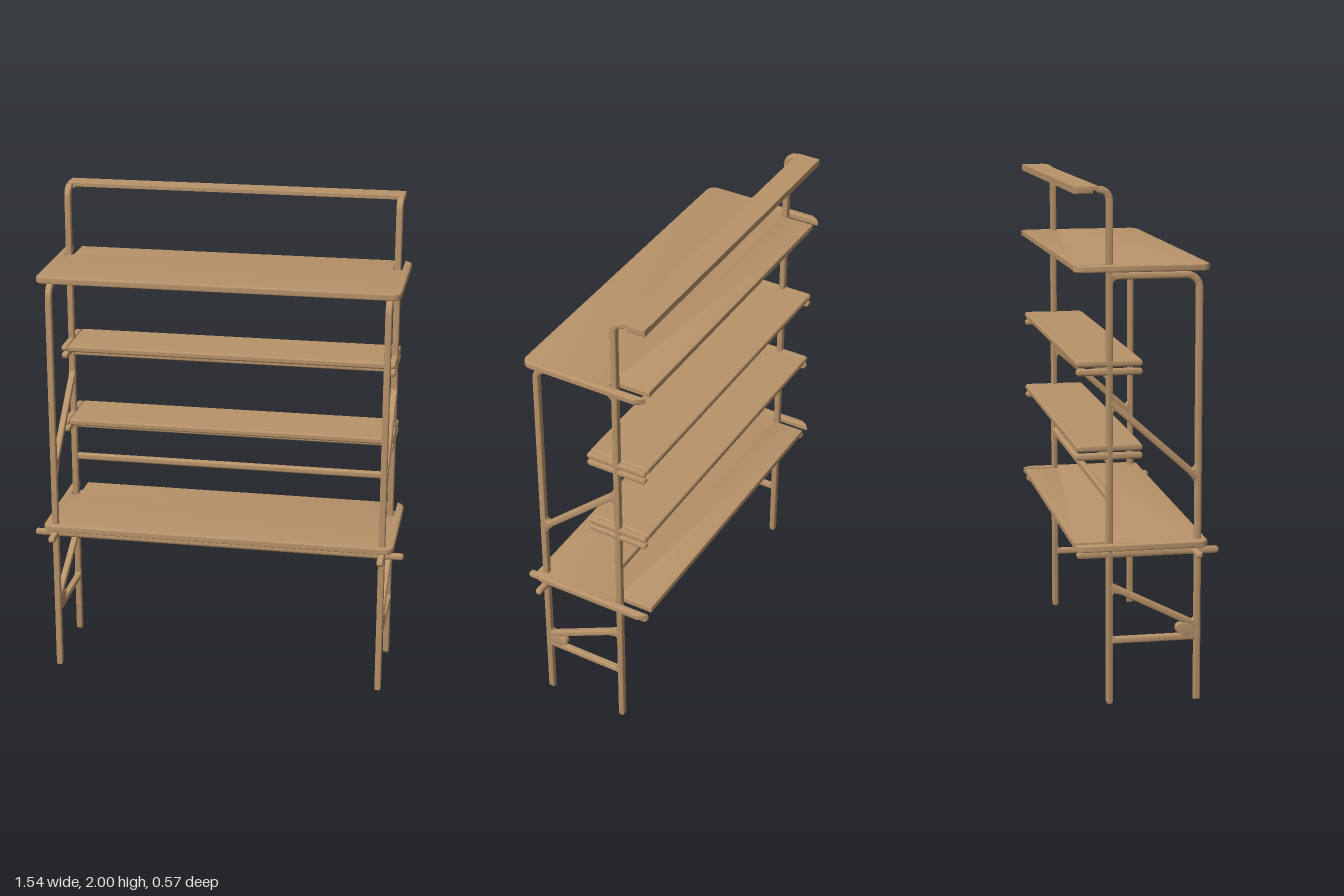
import * as THREE from 'three';
import { toCreasedNormals } from 'three/addons/utils/BufferGeometryUtils.js';
import { RoundedBoxGeometry } from 'three/addons/geometries/RoundedBoxGeometry.js';

const T = 0.027; // bar thickness
const SIDE_X = 0.68; // side frame position
const FRONT_Z = 0.202, BACK_Z = -0.143;

const V = (x, y) => new THREE.Vector2(x, y);

// Points of an arc
function arc(cx, cy, r, a0, a1, n = 6) {
  return Array.from({ length: n + 1 }, (_, i) => {
    const a = a0 + ((a1 - a0) * i) / n;
    return V(cx + r * Math.cos(a), cy + r * Math.sin(a));
  });
}

// Plate with softened edges, centred on its thickness
function plate(shape, thick, bevel) {
  const g = new THREE.ExtrudeGeometry(shape, {
    depth: thick - 2 * bevel, bevelEnabled: true, bevelThickness: bevel,
    bevelSize: bevel, bevelOffset: -bevel, bevelSegments: 3, curveSegments: 6,
  });
  g.translate(0, 0, -(thick - 2 * bevel) / 2);
  return toCreasedNormals(g, 0.7);
}

// Outline of a bar of constant width along a path, optionally with round ends
function stroke(path, width, round) {
  const r = width / 2, left = [], right = [];
  path.forEach((p, i) => {
    const a = path[Math.max(i - 1, 0)], b = path[Math.min(i + 1, path.length - 1)];
    const d = b.clone().sub(a).normalize();
    left.push(V(p.x - d.y * r, p.y + d.x * r));
    right.push(V(p.x + d.y * r, p.y - d.x * r));
  });
  const cap = (p, q) => {
    const a = Math.atan2(p.y - q.y, p.x - q.x);
    return arc(p.x, p.y, r, a - Math.PI / 2, a + Math.PI / 2, 8).slice(1, -1);
  };
  const n = path.length;
  const endCap = round ? cap(path[n - 1], path[n - 2]) : [];
  const startCap = round ? cap(path[0], path[1]) : [];
  return new THREE.Shape([...right, ...endCap, ...left.reverse(), ...startCap]);
}

// Concave web filling the corner between two bars
function web(corner, a, b) {
  const s = new THREE.Shape();
  s.moveTo(...corner);
  s.lineTo(...a);
  s.quadraticCurveTo(...corner, ...b);
  s.closePath();
  return s;
}

export function createModel() {
  const model = new THREE.Group();
  model.name = 'shelvingUnit';
  const wood = new THREE.MeshStandardMaterial({ color: 0xb8936a });
  wood.name = 'plywood';

  const add = (parent, name, geo, x = 0, y = 0, z = 0) => {
    const m = new THREE.Mesh(geo, wood);
    m.name = name;
    m.position.set(x, y, z);
    parent.add(m);
    return m;
  };

  // Side frames, drawn in the z-y plane
  const sideFrame = (name, x) => {
    const frame = new THREE.Group();
    frame.name = name;
    frame.position.x = x;
    model.add(frame);
    const flat = (part, shape, thick = T, bevel = 0.008) =>
      add(frame, part, plate(shape, thick, bevel).rotateY(-Math.PI / 2));
    const bar = (part, path, round = false, width = T) => flat(part, stroke(path, width, round));

    // Front leg bends into the upper rail
    bar('frontLeg', [V(FRONT_Z, 0), V(FRONT_Z, 0.8),
      ...arc(FRONT_Z - 0.05, 1.617, 0.05, 0, Math.PI / 2, 8), V(BACK_Z, 1.667)]);
    // Back post bends into the hook carrying the top rail
    bar('backPost', [V(BACK_Z, 0.0135), V(BACK_Z, 1),
      ...arc(BACK_Z - 0.035, 1.9515, 0.035, 0, Math.PI / 2, 8).map(p => V(2 * (BACK_Z - 0.035) - p.x + 0, p.y))
        .map(p => V(2 * (BACK_Z - 0.035) - p.x, p.y))], true);
    bar('hookArm', [V(-0.165, 1.993), V(-0.21, 1.993)], false, 0.014);
    flat('hookEnd', stroke([V(-0.205, 1.987), V(-0.276, 1.987)], 0.026, false), T, 0.003);

    // Braces
    bar('upperBrace', [V(FRONT_Z, 0.885), V(BACK_Z, 1.195)]);
    bar('lowerBrace', [V(FRONT_Z, 0.3), V(BACK_Z, 0.475)]);
    bar('lowerRail', [V(FRONT_Z, 0.257), V(BACK_Z, 0.257)]);

    // Webs at the joints
    const f = FRONT_Z - 0.01, b = BACK_Z + 0.01;
    const webs = [
      [[f, 0.9], [f, 0.955], [0.15, 0.942]],
      [[f, 0.875], [f, 0.845], [0.165, 0.9]],
      [[b, 1.175], [b, 1.13], [-0.105, 1.143]],
      [[b, 1.2], [b, 1.23], [-0.115, 1.183]],
      [[f, 0.31], [f, 0.345], [0.155, 0.336]],
      [[b, 0.46], [b, 0.425], [-0.095, 0.437]],
      [[b, 0.48], [b, 0.5], [-0.11, 0.47]],
      [[b, 0.265], [b, 0.295], [-0.11, 0.266]],
      [[b, 1.658], [b, 1.63], [-0.105, 1.658]],
    ];
    webs.forEach(w => flat('jointWeb', web(...w), T, 0.003));
    flat('braceGusset', new THREE.Shape([V(f, 0.26), V(0.14, 0.262),
      ...arc(0.137, 0.293, 0.022, -Math.PI / 2, -1.5 * Math.PI, 6), V(f, 0.31)]), T, 0.003);

    // Shelf supports
    bar('lowerShelfArm', [V(0.272, 0.6), V(-0.257, 0.6)], true);
    for (const y of [0.983, 1.015, 1.306, 1.338])
      bar('shelfArm', [V(-0.028, y), V(-0.258, y)], true, 0.026);
  };
  sideFrame('leftFrame', SIDE_X);
  sideFrame('rightFrame', -SIDE_X);

  // Deep shelves, slotted at the back around the posts
  const half = [
    ...arc(0.69, -0.2, 0.038, -Math.PI / 2, 0),
    V(0.728, 0.245), V(0.715, 0.268), V(0.697, 0.282),
    ...arc(SIDE_X, 0.145, 0.017, 0, -Math.PI, 8),
    V(0.663, 0.277),
  ];
  const outline = new THREE.Shape([...half, ...half.map(p => V(-p.x, p.y)).reverse()]);
  const deepShelf = plate(outline, 0.027, 0.007).rotateX(-Math.PI / 2);
  add(model, 'lowerShelf', deepShelf, 0, 0.633, 0);
  add(model, 'upperShelf', deepShelf, 0, 1.698, 0);

  // Narrow shelves with a stiffening beam below
  for (const y of [1.015, 1.338]) {
    add(model, 'narrowShelf', new RoundedBoxGeometry(1.334, 0.026, 0.255, 3, 0.008), 0, y, -0.143);
    add(model, 'shelfBeam', new RoundedBoxGeometry(1.334, 0.052, 0.026, 3, 0.006), 0, y - 0.036, BACK_Z);
  }

  // Cross rails
  add(model, 'backRail', new RoundedBoxGeometry(1.34, 0.028, 0.026, 3, 0.009), 0, 0.819, BACK_Z);
  add(model, 'frontRail', new RoundedBoxGeometry(1.538, 0.027, 0.027, 3, 0.011), 0, 0.6, 0.192);

  // Top rail: thin board with a back lip
  add(model, 'topRail', new THREE.BoxGeometry(1.386, 0.014, 0.096), 0, 1.993, -0.229);
  add(model, 'topRailLip', new THREE.BoxGeometry(1.386, 0.026, 0.014), 0, 1.987, -0.27);

  return model;
}
